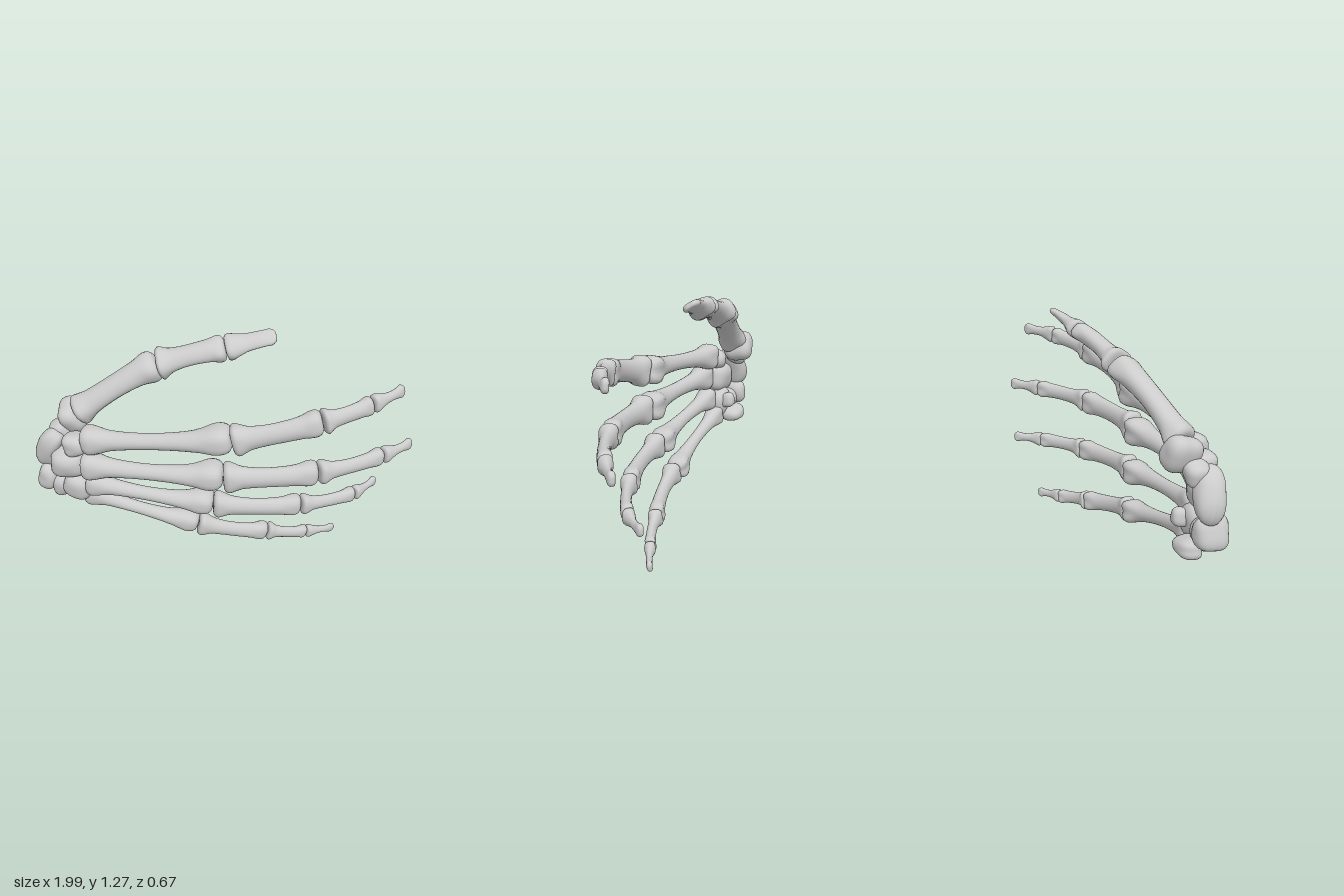
import * as THREE from 'three';

const material = new THREE.MeshStandardMaterial({ color: 0xcccccc, roughness: 0.8 });
const V = (a) => new THREE.Vector3(...a);
const smooth = THREE.MathUtils.smoothstep;

// Profiles along a bone: [position, base weight, shaft weight, head weight, taper]
const LONG = [
  [0, 1, 0, 0, 0.45], [0.012, 1, 0, 0, 0.85], [0.05, 1, 0, 0, 1], [0.1, 0.85, 0.15, 0, 1],
  [0.2, 0.35, 0.65, 0, 1], [0.35, 0.06, 0.94, 0, 1], [0.5, 0, 1, 0, 1], [0.66, 0, 0.82, 0.18, 1],
  [0.8, 0, 0.45, 0.55, 1], [0.9, 0, 0, 1, 1], [0.96, 0, 0, 1, 0.92], [0.99, 0, 0, 1, 0.68], [1, 0, 0, 1, 0.35],
];
const TIP = [
  [0, 1, 0, 0, 0.5], [0.03, 1, 0, 0, 0.9], [0.12, 1, 0, 0, 1], [0.24, 0.7, 0.3, 0, 1],
  [0.42, 0.15, 0.85, 0, 1], [0.62, 0, 1, 0, 1], [0.78, 0, 0.4, 0.6, 1], [0.89, 0, 0, 1, 1],
  [0.97, 0, 0, 1, 0.72], [1, 0, 0, 1, 0.35],
];

// Lofted bone from a to b; radii = [base, shaft, head], flat = depth relative to width,
// drop = how far the head bulges towards the palm
function bone(name, a, b, radii, { dorsal = [0, 0, 1], flat = [0.9, 0.85, 0.9], bow = 0.03, groove = 0.25, drop = 0.08, profile = LONG } = {}) {
  const start = V(a), axis = V(b).sub(start), length = axis.length();
  const dir = axis.clone().normalize();
  const n = V(dorsal).addScaledVector(dir, -V(dorsal).dot(dir)).normalize();
  const side = n.clone().cross(dir);
  const widths = new THREE.CatmullRomCurve3(profile.map(([t, p, q, r, k]) => new THREE.Vector3(
    t * length,
    k * (p * radii[0] + q * radii[1] + r * radii[2]),
    k * (p * radii[0] * flat[0] + q * radii[1] * flat[1] + r * radii[2] * flat[2]),
  )));
  const rows = 36, cols = 24, pos = [], index = [];
  for (let i = 0; i <= rows; i++) {
    const { x, y: w, z: d } = widths.getPoint(i / rows);
    const t = THREE.MathUtils.clamp(x / length, 0, 1);
    const head = smooth(t, 0.72, 0.92), base = 1 - smooth(t, 0.04, 0.22);
    const lift = bow * length * Math.sin(Math.PI * t) - drop * d * head;
    for (let j = 0; j < cols; j++) {
      const c = Math.cos(j / cols * 2 * Math.PI), s = Math.sin(j / cols * 2 * Math.PI);
      const square = 1 + 0.14 * Math.max(head, base) * (2 * c * s) ** 2;   // boxier ends
      let h = d * s * square;
      if (s < 0) h *= 1 - groove * (head + 0.5 * base) * (1 - c * c) ** 3;  // groove between condyles
      const p = start.clone().addScaledVector(dir, x)
        .addScaledVector(side, w * c * square * (s < 0 ? 1 : 1 - 0.12 * s * s))
        .addScaledVector(n, h + lift);
      pos.push(p.x, p.y, p.z);
    }
  }
  for (let i = 0; i < rows; i++) for (let j = 0; j < cols; j++) {
    const k = (j + 1) % cols, r = i * cols, q = r + cols;
    index.push(r + j, r + k, q + k, r + j, q + k, q + j);
  }
  // closed ends
  const first = pos.length / 3, last = rows * cols;
  const inner = start.clone().addScaledVector(dir, length * 0.008);
  const outer = start.clone().addScaledVector(dir, length * 0.998);
  pos.push(...inner.toArray(), ...outer.toArray());
  for (let j = 0; j < cols; j++) {
    const k = (j + 1) % cols;
    index.push(first, k, j, first + 1, last + j, last + k);
  }
  const g = new THREE.BufferGeometry();
  g.setAttribute('position', new THREE.Float32BufferAttribute(pos, 3));
  g.setIndex(index);
  g.computeVertexNormals();
  const mesh = new THREE.Mesh(g, material);
  mesh.name = name;
  return mesh;
}

// Wrist bone: rounded block with gently uneven faces, optionally bent into a crescent
function pebble(name, center, half, rot, seed, bend = 0) {
  const g = new THREE.SphereGeometry(1, 28, 20), p = g.attributes.position, v = new THREE.Vector3();
  for (let i = 0; i < p.count; i++) {
    v.fromBufferAttribute(p, i);
    const norm = (Math.abs(v.x) ** 2.8 + Math.abs(v.y) ** 2.8 + Math.abs(v.z) ** 2.8) ** (-1 / 2.8);
    const bump = 1 + 0.08 * Math.sin(2.3 * v.x + seed) * Math.cos(2.9 * v.y - seed) + 0.06 * Math.sin(3.1 * v.z + 2 * seed);
    v.multiplyScalar(norm * bump);
    const shift = bend * v.y * v.y;
    v.multiply(V(half));
    p.setXYZ(i, v.x + shift, v.y, v.z);
  }
  g.computeVertexNormals();
  const mesh = new THREE.Mesh(g, material);
  mesh.name = name;
  mesh.position.set(...center);
  mesh.rotation.set(...rot);
  return mesh;
}

// Joint positions from wrist to fingertip, with a size factor per finger
const FINGERS = [
  { name: 'index', size: 1.05, joints: [[-0.69, 0.73, 0.23], [0.11, 0.834, 0.18], [0.545, 0.948, 0.068], [0.77, 1.0, -0.075], [0.912, 1.022, -0.225]] },
  { name: 'middle', size: 1.05, joints: [[-0.69, 0.595, 0.268], [0.07, 0.606, 0.197], [0.545, 0.63, 0.062], [0.855, 0.643, -0.16], [0.995, 0.65, -0.31]] },
  { name: 'ring', size: 0.93, joints: [[-0.69, 0.46, 0.24], [0.005, 0.385, 0.16], [0.46, 0.357, 0.01], [0.73, 0.343, -0.18], [0.832, 0.345, -0.335]] },
  { name: 'little', size: 0.85, joints: [[-0.72, 0.355, 0.2], [-0.095, 0.19, 0.118], [0.275, 0.098, -0.02], [0.485, 0.048, -0.13], [0.635, 0.027, -0.232]] },
];
const SEGMENTS = [
  ['Metacarpal', [0.074, 0.043, 0.072], { flat: [0.9, 0.95, 1.08], bow: 0.02, drop: 0.2 }],
  ['ProximalPhalanx', [0.079, 0.054, 0.064], { flat: [0.8, 0.74, 0.8], bow: 0.045 }],
  ['MiddlePhalanx', [0.063, 0.042, 0.047], { flat: [0.76, 0.7, 0.76], bow: 0.04 }],
  ['DistalPhalanx', [0.046, 0.026, 0.033], { flat: [0.74, 0.7, 0.55], bow: 0.02, groove: 0.1, profile: TIP }],
];

export function createModel() {
  const hand = new THREE.Group();
  hand.name = 'handSkeleton';

  // Four fingers
  for (const { name, size, joints } of FINGERS) {
    const finger = new THREE.Group();
    finger.name = name + 'Finger';
    SEGMENTS.forEach(([part, radii, options], i) => finger.add(
      bone(name + part, joints[i], joints[i + 1], radii.map((r) => r * size), options)));
    hand.add(finger);
  }

  // Thumb, turned so its back faces up and outward
  const thumb = new THREE.Group(), dorsal = [-0.3, 0.7, 0.65];
  thumb.name = 'thumb';
  thumb.add(
    bone('thumbMetacarpal', [-0.76, 0.825, 0.12], [-0.345, 1.1, -0.04], [0.08, 0.066, 0.082], { dorsal, flat: [0.9, 0.82, 0.85], bow: 0.035 }),
    bone('thumbProximalPhalanx', [-0.345, 1.09, -0.04], [-0.005, 1.188, -0.13], [0.084, 0.059, 0.07], { dorsal, flat: [0.82, 0.76, 0.72] }),
    bone('thumbDistalPhalanx', [-0.005, 1.183, -0.13], [0.243, 1.25, -0.205], [0.071, 0.048, 0.046], { dorsal, flat: [0.7, 0.55, 0.42], bow: 0.01, groove: 0.1, profile: TIP }),
  );
  hand.add(thumb);

  // Wrist bones
  const wrist = new THREE.Group();
  wrist.name = 'wrist';
  wrist.add(
    pebble('scaphoid', [-0.918, 0.63, 0.19], [0.06, 0.13, 0.074], [0.15, 0, -0.38], 0.4, 0.03),
    pebble('scaphoidTubercle', [-0.855, 0.715, 0.15], [0.06, 0.055, 0.06], [0, 0, 0.4], 1.3),
    pebble('trapezium', [-0.795, 0.785, 0.1], [0.068, 0.088, 0.085], [0.25, 0.2, 0.3], 2.1),
    pebble('trapezoid', [-0.735, 0.7, 0.23], [0.064, 0.06, 0.07], [0, 0.1, 0.2], 3.2),
    pebble('capitate', [-0.785, 0.57, 0.24], [0.1, 0.085, 0.08], [0, 0.1, 0.1], 4.4),
    pebble('hamate', [-0.75, 0.42, 0.225], [0.085, 0.085, 0.075], [0, 0.1, -0.35], 5.1),
    pebble('hamateHook', [-0.735, 0.44, 0.145], [0.035, 0.045, 0.055], [0.3, 0, 0], 1.7),
    pebble('lunate', [-0.925, 0.445, 0.2], [0.058, 0.082, 0.08], [0, 0, -0.35], 2.7),
    pebble('triquetrum', [-0.85, 0.405, 0.21], [0.06, 0.075, 0.07], [0, 0, 0.3], 3.9),
    pebble('pisiform', [-0.825, 0.335, 0.135], [0.08, 0.047, 0.06], [0, 0, -0.1], 0.2),
  );
  hand.add(wrist);
  return hand;
}
